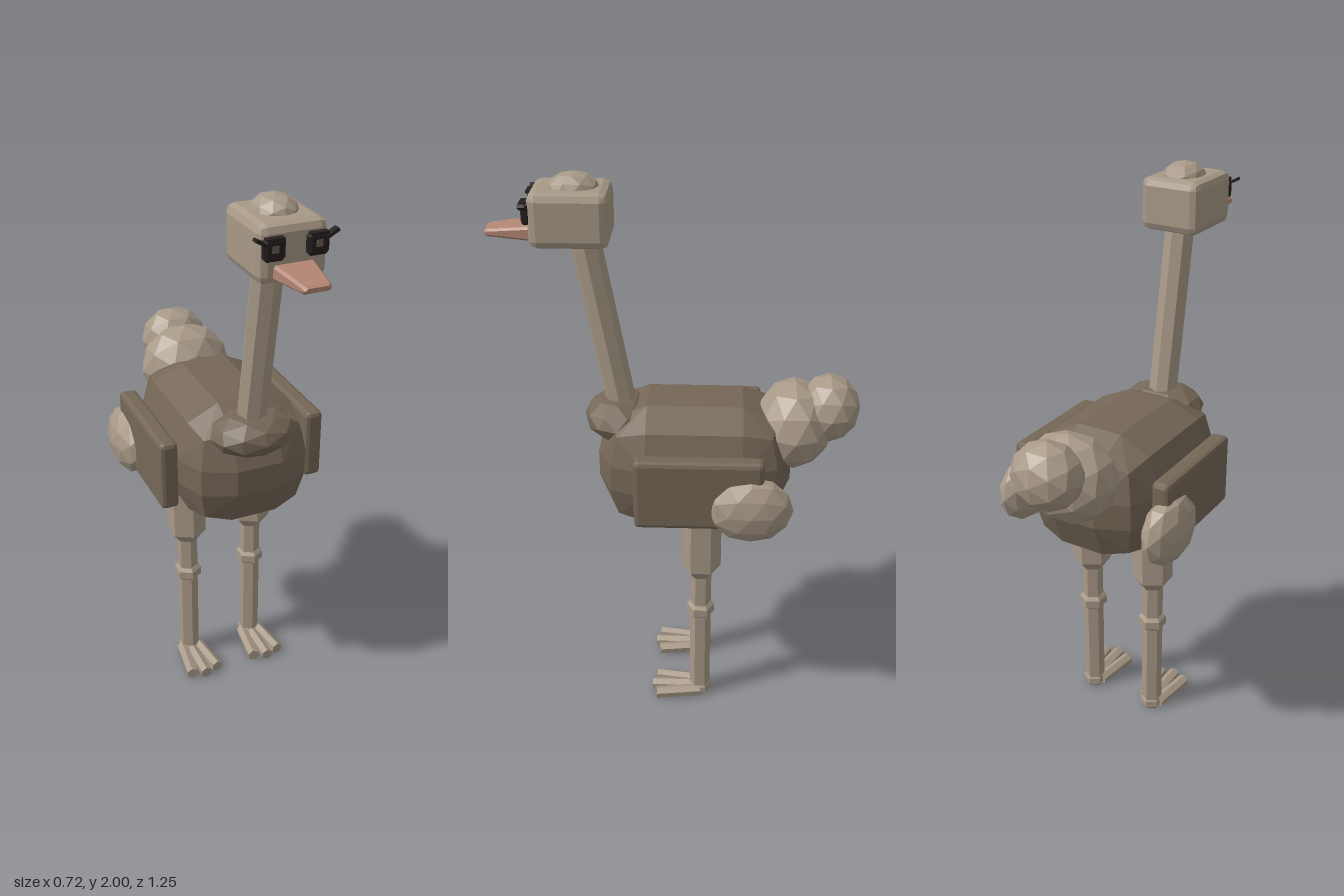
import * as THREE from 'three';
import { ConvexGeometry } from 'three/addons/geometries/ConvexGeometry.js';

const material = (name, color) => {
  const m = new THREE.MeshStandardMaterial({ color });
  m.name = name;
  return m;
};

// Facet every triangle
function faceted(geometry) {
  const g = geometry.index ? geometry.toNonIndexed() : geometry;
  g.computeVertexNormals();
  return g;
}

// Box with bevelled edges: half sizes, bevel per axis, one or two bevel segments
function bevelBox([hx, hy, hz], [bx, by, bz], segments = 1) {
  const dirs = [[1, 0, 0], [0, 1, 0], [0, 0, 1]];
  if (segments === 2) {
    const a = Math.SQRT1_2, c = 1 / Math.sqrt(3);
    dirs.push([a, a, 0], [a, 0, a], [0, a, a], [c, c, c]);
  }
  const points = [];
  for (const sx of [-1, 1]) for (const sy of [-1, 1]) for (const sz of [-1, 1]) {
    for (const [x, y, z] of dirs) {
      points.push(new THREE.Vector3(sx * (hx - bx + bx * x), sy * (hy - by + by * y), sz * (hz - bz + bz * z)));
    }
  }
  return new ConvexGeometry(points);
}

// Low-poly ellipsoid for feather puffs
const puff = (rx, ry, rz) => faceted(new THREE.IcosahedronGeometry(1, 1).scale(rx, ry, rz));

// Straight prism between two points
function rod(from, to, radius, sides = 6) {
  const a = new THREE.Vector3(...from), b = new THREE.Vector3(...to);
  const d = b.clone().sub(a);
  const g = new THREE.CylinderGeometry(radius, radius, d.length(), sides);
  g.applyQuaternion(new THREE.Quaternion().setFromUnitVectors(new THREE.Vector3(0, 1, 0), d.normalize()));
  const mid = a.add(b).multiplyScalar(0.5);
  return faceted(g.translate(mid.x, mid.y, mid.z));
}

// Hexagonal turned part from [radius, y] pairs
const turned = (profile) =>
  faceted(new THREE.LatheGeometry(profile.map(([r, y]) => new THREE.Vector2(r, y)), 6));

export function createModel() {
  const light = material('pale feather', 0xa89987);
  const dark = material('dark feather', 0x756757);
  const beakColor = material('beak', 0xb38573);
  const black = material('eye black', 0x26201e);
  const glint = material('eye glint', 0x6b5c50);

  const model = new THREE.Group();
  model.name = 'bird';
  const add = (parent, name, geometry, mat, position = [0, 0, 0]) => {
    const mesh = new THREE.Mesh(geometry, mat);
    mesh.name = name;
    mesh.position.set(...position);
    parent.add(mesh);
    return mesh;
  };

  // Body, chest and tail
  add(model, 'body', bevelBox([0.24, 0.227, 0.335], [0.157, 0.18, 0.17], 2), dark, [0, 0.995, -0.055]);
  add(model, 'chestRuff', puff(0.155, 0.077, 0.12), dark, [0, 1.15, 0.212]);
  add(model, 'tailBase', puff(0.172, 0.157, 0.138), light, [0, 1.125, -0.4]);
  add(model, 'tailTip', puff(0.127, 0.118, 0.108), light, [0, 1.187, -0.519]);

  // Neck and head
  add(model, 'neck', rod([0, 1.16, 0.197], [0, 1.82, 0.315], 0.052, 8), light);
  add(model, 'head', bevelBox([0.11, 0.09, 0.128], [0.027, 0.027, 0.027], 2), light, [0, 1.865, 0.347]);
  add(model, 'crown', puff(0.074, 0.055, 0.085), light, [0, 1.945, 0.335]);

  // Beak narrows and thins toward the tip
  const beakPoints = [];
  for (const [z, w, lo, hi] of [[0.46, 0.068, 1.79, 1.838], [0.615, 0.046, 1.798, 1.822], [0.625, 0.04, 1.803, 1.817]]) {
    for (const s of [-1, 1]) {
      beakPoints.push(
        new THREE.Vector3(s * w, lo + 0.007, z), new THREE.Vector3(s * w, hi - 0.007, z),
        new THREE.Vector3(s * (w - 0.008), lo, z), new THREE.Vector3(s * (w - 0.008), hi, z));
    }
  }
  add(model, 'beak', new ConvexGeometry(beakPoints), beakColor);

  for (const s of [-1, 1]) {
    const side = s > 0 ? 'left' : 'right';

    // Eye with a glint and two lashes
    const eye = new THREE.Group();
    eye.name = side + 'Eye';
    eye.position.set(s * 0.069, 1.887, 0.48);
    model.add(eye);
    add(eye, 'eyeball', bevelBox([0.034, 0.034, 0.013], [0.01, 0.01, 0.006]), black);
    add(eye, 'glint', new THREE.BoxGeometry(0.02, 0.02, 0.004), glint, [0, 0.003, 0.014]);
    const lash = add(eye, 'outerLash', new THREE.BoxGeometry(0.04, 0.01, 0.024), black, [s * 0.043, 0.027, 0.004]);
    lash.rotation.z = s * 0.5;
    add(eye, 'upperLash', new THREE.BoxGeometry(0.056, 0.009, 0.022), black, [0, 0.032, 0.007]);

    // Wing with feather puff
    add(model, side + 'Wing', bevelBox([0.033, 0.128, 0.218], [0.016, 0.016, 0.016], 2), dark, [s * 0.273, 0.993, -0.073]);
    add(model, side + 'WingPuff', puff(0.071, 0.122, 0.145), light, [s * 0.287, 0.94, -0.249]);

    // Leg
    const leg = new THREE.Group();
    leg.name = side + 'Leg';
    leg.position.set(s * 0.131, 0, -0.082);
    model.add(leg);
    add(leg, 'thigh', turned([[0, 0.56], [0.042, 0.56], [0.072, 0.6], [0.072, 0.86], [0, 0.86]]), light);
    add(leg, 'shin', turned([[0, 0.02], [0.038, 0.02], [0.038, 0.58], [0, 0.58]]), light);
    add(leg, 'knee', turned([[0, 0.38], [0.04, 0.38], [0.051, 0.39], [0.051, 0.42], [0.04, 0.432], [0, 0.432]]), light);
    add(leg, 'ankle', turned([[0, 0.004], [0.036, 0.004], [0.043, 0.014], [0.043, 0.038], [0.036, 0.048], [0, 0.048]]), light);
    for (const t of [-1, 0, 1]) {
      add(leg, 'toe', rod([t * 0.03, 0.024, 0], [t * 0.052, 0.024, t ? 0.165 : 0.182], 0.023), light);
    }
  }
  return model;
}
